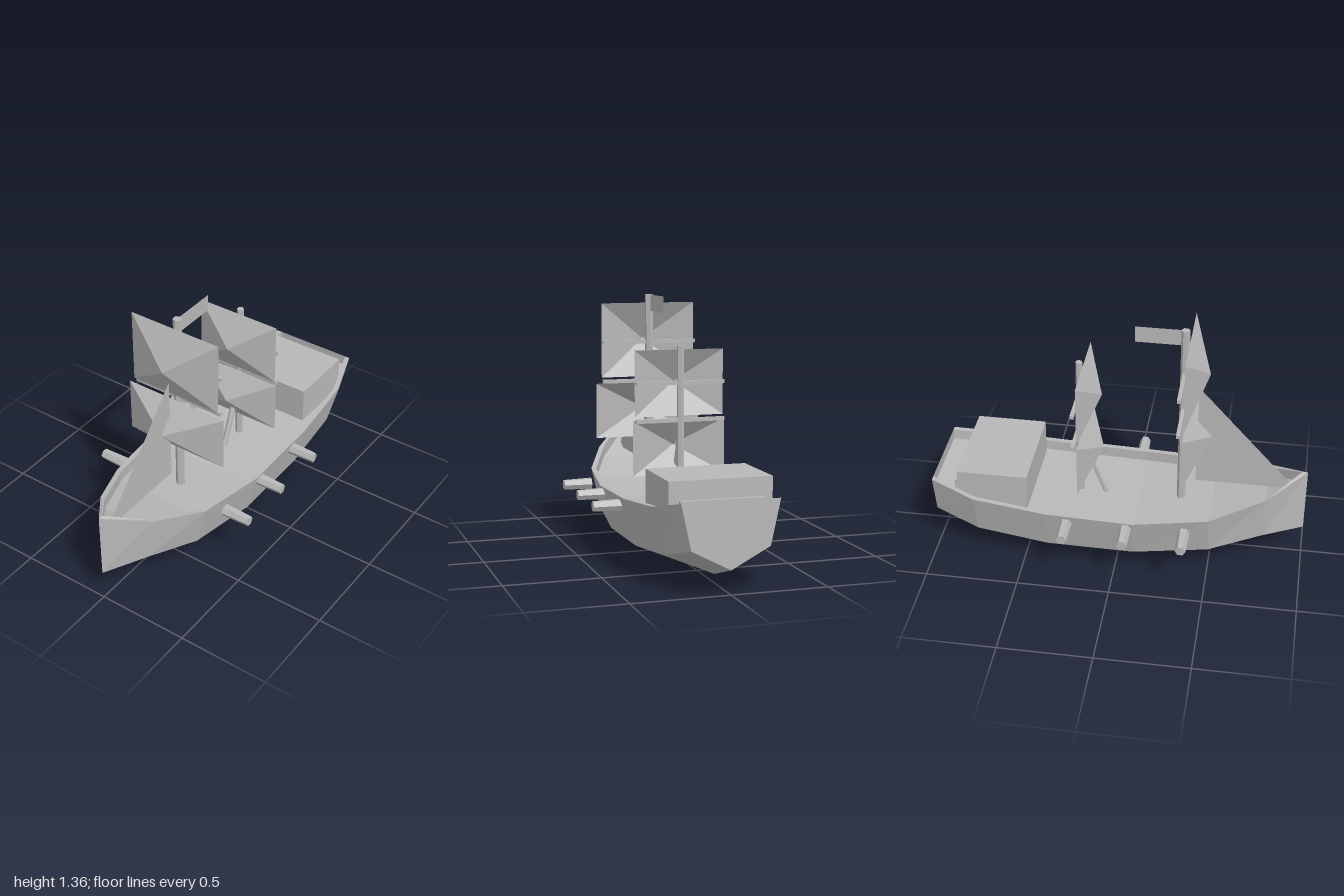
import * as THREE from 'three';

const grey = new THREE.MeshStandardMaterial({ color: 0xb8b8b8, side: THREE.DoubleSide });
grey.name = 'plain grey';

// Faceted mesh with one flat normal per face
function part(name, geometry, parent) {
  const g = geometry.index ? geometry.toNonIndexed() : geometry;
  g.computeVertexNormals();
  const mesh = new THREE.Mesh(g, grey);
  mesh.name = name;
  parent.add(mesh);
  return mesh;
}

// Joins rings of points, listed front to back, each counterclockwise from the front
function loft(rings) {
  const pos = [];
  for (let i = 0; i < rings.length - 1; i++) {
    const n = rings[i].length;
    for (let j = 0; j < n; j++) {
      const k = (j + 1) % n;
      const a = rings[i][j], b = rings[i + 1][j], c = rings[i + 1][k], d = rings[i][k];
      pos.push(...a, ...b, ...c, ...a, ...c, ...d);
    }
  }
  const g = new THREE.BufferGeometry();
  g.setAttribute('position', new THREE.Float32BufferAttribute(pos, 3));
  return g;
}

// Six-sided tapered rod between two points
function rod(name, from, to, r0, r1, parent) {
  const a = new THREE.Vector3(...from), b = new THREE.Vector3(...to);
  const dir = b.clone().sub(a);
  const mesh = part(name, new THREE.CylinderGeometry(r1, r0, dir.length(), 6), parent);
  mesh.position.copy(a).add(b).multiplyScalar(0.5);
  mesh.quaternion.setFromUnitVectors(new THREE.Vector3(0, 1, 0), dir.normalize());
  return mesh;
}

function box(name, size, at, parent) {
  const mesh = part(name, new THREE.BoxGeometry(...size), parent);
  mesh.position.set(...at);
  return mesh;
}

// Flat sheet in the centre plane, outlined as [z, y]
function sheet(name, outline, parent) {
  const shape = new THREE.Shape(outline.map(([z, y]) => new THREE.Vector2(-z, y)));
  part(name, new THREE.ShapeGeometry(shape), parent).rotation.y = Math.PI / 2;
}

// Square sail, billowing forward to a point
function sail(name, w, y0, y1, z, apexZ, parent) {
  const base = [[-w, y0, z], [w, y0, z], [w, y1, z], [-w, y1, z]];
  part(name, loft([base.map(() => [0, (y0 + y1) / 2, apexZ]), base]), parent);
}

export function createModel() {
  const ship = new THREE.Group();
  ship.name = 'sailingShip';

  // Hull stations: z, rim half width, rim y, chine half width, chine y, keel y
  const stations = [
    [1, 0, 0.54, 0, 0.17, 0.17],
    [0.79, 0.165, 0.45, 0.135, 0.195, 0.085],
    [0.5, 0.29, 0.375, 0.235, 0.14, 0.03],
    [0.1, 0.345, 0.35, 0.285, 0.115, 0.005],
    [-0.37, 0.345, 0.365, 0.285, 0.12, 0],
    [-0.76, 0.32, 0.4, 0.26, 0.16, 0.045],
    [-1, 0.25, 0.455, 0.2, 0.225, 0.12],
  ];
  const hullRings = stations.map(([z, w, y, cw, cy, ky], i) => {
    const iw = Math.max(0, w - 0.028), iz = i === 0 ? 0.97 : z, deckY = y - 0.06;
    return [
      [0, ky, z], [cw, cy, z], [w, y, z], [iw, y, iz], [iw, deckY, iz],
      [-iw, deckY, iz], [-iw, y, iz], [-w, y, z], [-cw, cy, z],
    ];
  });
  part('hull', loft(hullRings), ship);

  // Flat stern closing the hull
  const [sz, sw, sy, scw, scy, sky] = stations[stations.length - 1];
  const stern = new THREE.Shape([[0, sky], [scw, scy], [sw, sy], [-sw, sy], [-scw, scy]]
    .map(([x, y]) => new THREE.Vector2(x, y)));
  part('transom', new THREE.ShapeGeometry(stern), ship).position.z = sz;

  // Cabin on the rear deck, with a low step behind it
  box('cabin', [0.53, 0.2, 0.38], [0, 0.435, -0.665], ship);
  box('cabinStep', [0.43, 0.06, 0.025], [0, 0.41, -0.872], ship);

  // Masts, each with two yards and two sails
  const rigs = [
    { name: 'foremast', z: 0.325, r: 0.023, top: 1.36, yard: 0.265, yards: [0.885, 1.1],
      sails: [[0.297, 0.57, 0.872, 0.35, 0.48], [0.265, 0.905, 1.313, 0.352, 0.46]] },
    { name: 'rearMast', z: -0.228, r: 0.019, top: 1.12, yard: 0.24, yards: [0.735, 0.93],
      sails: [[0.25, 0.445, 0.735, -0.205, -0.1], [0.24, 0.755, 1.1, -0.207, -0.108]] },
  ];
  for (const m of rigs) {
    const rig = new THREE.Group();
    rig.name = m.name + 'Rig';
    ship.add(rig);
    rod(m.name, [0, 0.29, m.z], [0, m.top, m.z], m.r, m.r, rig);
    for (const y of m.yards) box('yard', [m.yard * 2, 0.02, 0.02], [0, y, m.z], rig);
    for (const s of m.sails) sail('squareSail', ...s, rig);
  }

  // Leaning spar, bow sail and flag
  rod('leaningSpar', [0, 0.29, -0.085], [0, 0.62, -0.21], 0.017, 0.015, ship);
  sheet('bowSail', [[0.4, 0.425], [0.94, 0.425], [0.405, 1.02]], ship);
  sheet('flag', [[0.32, 1.27], [0.065, 1.27], [0.065, 1.36], [0.32, 1.36]], ship);

  // Three cannons on each side
  for (const side of [-1, 1]) {
    for (const z of [0.375, 0.065, -0.255]) {
      rod('cannon', [side * 0.325, 0.313, z], [side * 0.48, 0.313, z], 0.033, 0.028, ship);
    }
  }
  return ship;
}
